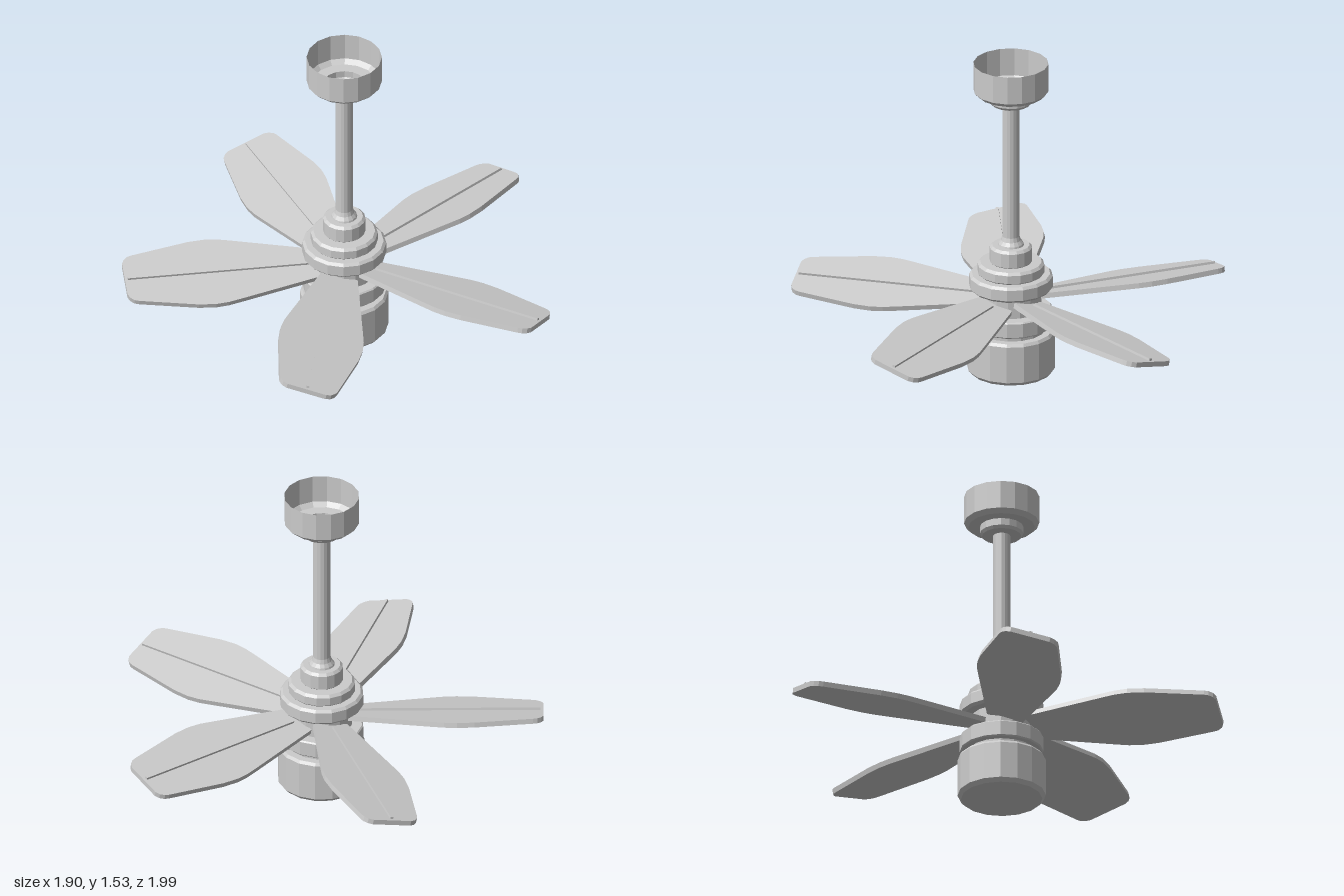
import * as THREE from 'three';

const SIDES = 16;
const AXIS_X = -0.073;   // the shaft sits slightly off centre so the blades are centred
const BLADES = 5;

const solid = new THREE.MeshStandardMaterial({ color: 0xcccccc, flatShading: true });
const shell = new THREE.MeshStandardMaterial({ color: 0xcccccc, flatShading: true, side: THREE.DoubleSide });

// Turned part from [radius, height] pairs, listed bottom to top
function turned(name, profile, material = solid) {
  const points = profile.map(([r, y]) => new THREE.Vector2(r, y));
  const mesh = new THREE.Mesh(new THREE.LatheGeometry(points, SIDES), material);
  mesh.name = name;
  return mesh;
}

// Closed disc with small bevels on both rims
function disc(name, r, y0, y1, bevel = 0.012) {
  return turned(name, [
    [0, y0], [r - bevel, y0], [r, y0 + bevel],
    [r, y1 - bevel], [r - bevel, y1], [0, y1],
  ]);
}

// Flat paddle, widest past the middle, with clipped tip corners
function bladeGeometry() {
  const edge = [[0.12, 0.083], [0.5, 0.176], [0.56, 0.19], [0.62, 0.196], [0.7, 0.19],
    [0.97, 0.138], [0.99, 0.131], [1.008, 0.115], [1.018, 0.093]];
  const mirrored = edge.map(([u, v]) => [u, -v]).reverse();
  const outline = [...mirrored, ...edge].reverse().map(([u, v]) => new THREE.Vector2(u, v));
  const geometry = new THREE.ExtrudeGeometry(new THREE.Shape(outline), { depth: 0.024, bevelEnabled: false });
  geometry.rotateX(-Math.PI / 2);
  geometry.translate(0, -0.012, 0);
  return geometry;
}

export function createModel() {
  const fan = new THREE.Group();
  fan.name = 'ceilingFan';
  fan.position.x = AXIS_X;

  // Motor housing, stacked from the bottom
  fan.add(
    turned('lowerDrum', [[0, 0], [0.187, 0], [0.203, 0.018], [0.203, 0.195], [0.193, 0.208], [0, 0.208]]),
    disc('lowerNeck', 0.16, 0.2, 0.245, 0.002),
    disc('lowerRing', 0.193, 0.233, 0.312, 0.006),
    disc('hub', 0.14, 0.305, 0.42, 0.002),
    disc('upperRing', 0.193, 0.41, 0.486),
    disc('upperStep', 0.154, 0.48, 0.543),
    disc('topCap', 0.098, 0.535, 0.626),
  );

  // Down rod with its flared foot
  fan.add(turned('downRod', [[0, 0.62], [0.062, 0.62], [0.058, 0.634], [0.046, 0.65], [0.04, 0.67],
    [0.04, 1.36], [0, 1.36]]));

  // Ceiling cup, open at the top, with its collar
  fan.add(turned('canopy', [[0.038, 1.33], [0.09, 1.33], [0.1, 1.343], [0.1, 1.376],
    [0.153, 1.376], [0.173, 1.396], [0.173, 1.53]], shell));

  // Pitched blades, each with a raised centre rib
  const paddle = bladeGeometry();
  const rib = new THREE.BoxGeometry(0.84, 0.012, 0.014).translate(0.585, 0.017, 0);
  for (let i = 0; i < BLADES; i++) {
    const arm = new THREE.Group();
    arm.name = `bladeArm${i + 1}`;
    arm.position.y = 0.362;
    arm.rotation.y = (i * 2 * Math.PI) / BLADES;
    const pitched = new THREE.Group();
    pitched.name = 'pitchedBlade';
    pitched.rotation.x = -0.23;
    const blade = new THREE.Mesh(paddle, solid);
    blade.name = 'blade';
    const bladeRib = new THREE.Mesh(rib, solid);
    bladeRib.name = 'bladeRib';
    pitched.add(blade, bladeRib);
    arm.add(pitched);
    fan.add(arm);
  }

  const model = new THREE.Group();
  model.name = 'model';
  model.add(fan);
  return model;
}
